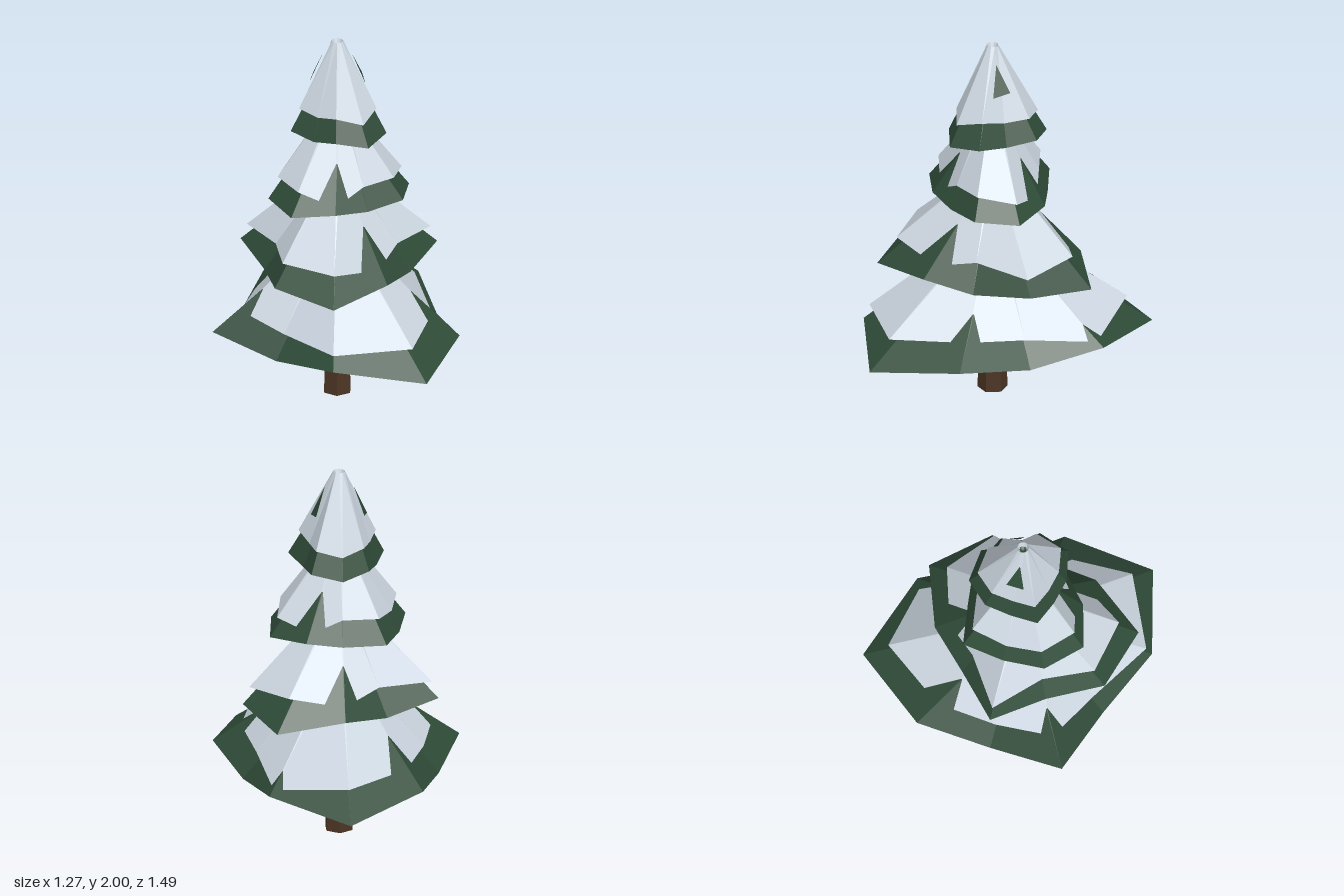
import * as THREE from 'three';

const SIDES = 10, AXIS_Z = 0.075;
const START = -Math.PI / 2; // first corner points to the back

const mat = (name, color) => {
  const m = new THREE.MeshStandardMaterial({ color, side: THREE.DoubleSide });
  m.name = name;
  return m;
};

// A ring is ten [radius, height] pairs around the tree axis
const ring = (f) => Array.from({ length: SIDES }, (_, i) => f(i));
const evenRing = (r, y) => ring(() => [r, y]);

function corner([r, y], i) {
  const a = START + (i / SIDES) * Math.PI * 2;
  return new THREE.Vector3(r * Math.cos(a), y, AXIS_Z + r * Math.sin(a));
}

// Faceted skin over a stack of rings, skipping collapsed faces
function loft(rings) {
  const pos = [];
  const face = (...t) => {
    if (new THREE.Triangle(...t).getArea() > 1e-7) t.forEach((p) => pos.push(p.x, p.y, p.z));
  };
  for (let k = 0; k + 1 < rings.length; k++) {
    for (let i = 0; i < SIDES; i++) {
      const j = (i + 1) % SIDES;
      const a = corner(rings[k][i], i), b = corner(rings[k][j], j);
      const c = corner(rings[k + 1][j], j), d = corner(rings[k + 1][i], i);
      face(a, d, b);
      face(b, d, c);
    }
  }
  const g = new THREE.BufferGeometry();
  g.setAttribute('position', new THREE.Float32BufferAttribute(pos, 3));
  g.computeVertexNormals();
  return g;
}

// Corner order: back, then round by the left side to the front and the right.
// low/high: heights of alternate corners; odd: which corners are the low ones.
// bare: corners where the branch ridge breaks through the snow, and how far.
const TIERS = [
  { low: 0.36, high: 0.42, odd: 0, apex: 0.93, lift: 0.055,
    green: [0.825, 0.68, 0.535, 0.67, 0.82, 0.665, 0.515, 0.67, 0.53, 0.67],
    snow: [0.695, 0.64, 0.46, 0.52, 0.69, 0.635, 0.45, 0.52, 0.45, 0.54],
    bare: { 1: -0.008, 3: -0.015, 7: -0.015, 9: -0.02 } },
  { low: 0.74, high: 0.78, odd: 1, apex: 1.27, lift: 0.055,
    green: [0.455, 0.605, 0.536, 0.4, 0.46, 0.595, 0.525, 0.39, 0.53, 0.385],
    snow: [0.38, 0.49, 0.5, 0.33, 0.38, 0.495, 0.46, 0.33, 0.495, 0.32],
    bare: { 0: -0.03, 4: -0.035 } },
  { low: 1.13, high: 1.145, odd: 0, apex: 1.62, lift: 0.05,
    green: [0.285, 0.32, 0.385, 0.36, 0.28, 0.31, 0.387, 0.37, 0.32, 0.38],
    snow: [0.24, 0.27, 0.345, 0.31, 0.24, 0.27, 0.33, 0.32, 0.28, 0.32],
    bare: { 1: -0.04, 5: -0.04 } },
  { low: 1.495, high: 1.515, odd: 0, apex: 1.96, lift: 0.035,
    green: [0.28, 0.27, 0.2, 0.27, 0.285, 0.225, 0.2, 0.25, 0.2, 0.24],
    snow: [0.235, 0.225, 0.165, 0.215, 0.24, 0.185, 0.165, 0.205, 0.165, 0.2],
    bare: {} },
];

export function createModel() {
  const root = new THREE.Group();
  root.name = 'snowyTree';
  const green = mat('needleGreen', 0x2f4b38);
  const white = mat('snowWhite', 0xcdd7e1);
  const brown = mat('barkBrown', 0x4c3524);
  const add = (name, geometry, material, parent = root) => {
    const m = new THREE.Mesh(geometry, material);
    m.name = name;
    parent.add(m);
    return m;
  };

  // Six-sided tapering trunk
  const bark = new THREE.CylinderGeometry(0.062, 0.078, 0.45, 6).toNonIndexed();
  bark.computeVertexNormals();
  add('trunk', bark, brown).position.set(0, 0.225, AXIS_Z);

  // Branch tiers with snow lying on them
  TIERS.forEach((t, n) => {
    const tier = new THREE.Group();
    tier.name = `tier${n + 1}`;
    root.add(tier);
    const rimY = (i) => (i % 2 === t.odd ? t.low : t.high);
    const rim = ring((i) => [t.green[i], rimY(i)]);
    add('branches', loft([
      evenRing(0, t.low + 0.03), rim, evenRing(0.02, t.apex), evenRing(0, t.apex - 0.01),
    ]), green, tier);

    // Height of the branch ridge at the snow edge, plus the snow depth
    const snowRim = ring((i) => {
      const k = (t.green[i] - t.snow[i]) / (t.green[i] - 0.02);
      return [t.snow[i], rimY(i) + k * (t.apex - rimY(i)) + (t.bare[i] ?? t.lift)];
    });
    const under = snowRim.map(([r, y]) => [r * 0.8, y]);
    add('snow', loft([
      under, snowRim, evenRing(0.03, t.apex + 0.04), evenRing(0.018, t.apex + 0.01),
    ]), white, tier);
  });

  // Bare needle patches on both sides of the treetop
  for (const s of [1, -1]) {
    const g = new THREE.BufferGeometry();
    g.setAttribute('position', new THREE.Float32BufferAttribute(
      [0.075, 1.92, -0.015, 0.145, 1.76, 0.005, 0.125, 1.78, -0.085], 3));
    g.computeVertexNormals();
    const patch = add('needlePatch', g, green);
    patch.position.z = AXIS_Z;
    patch.scale.x = s;
  }
  return root;
}
